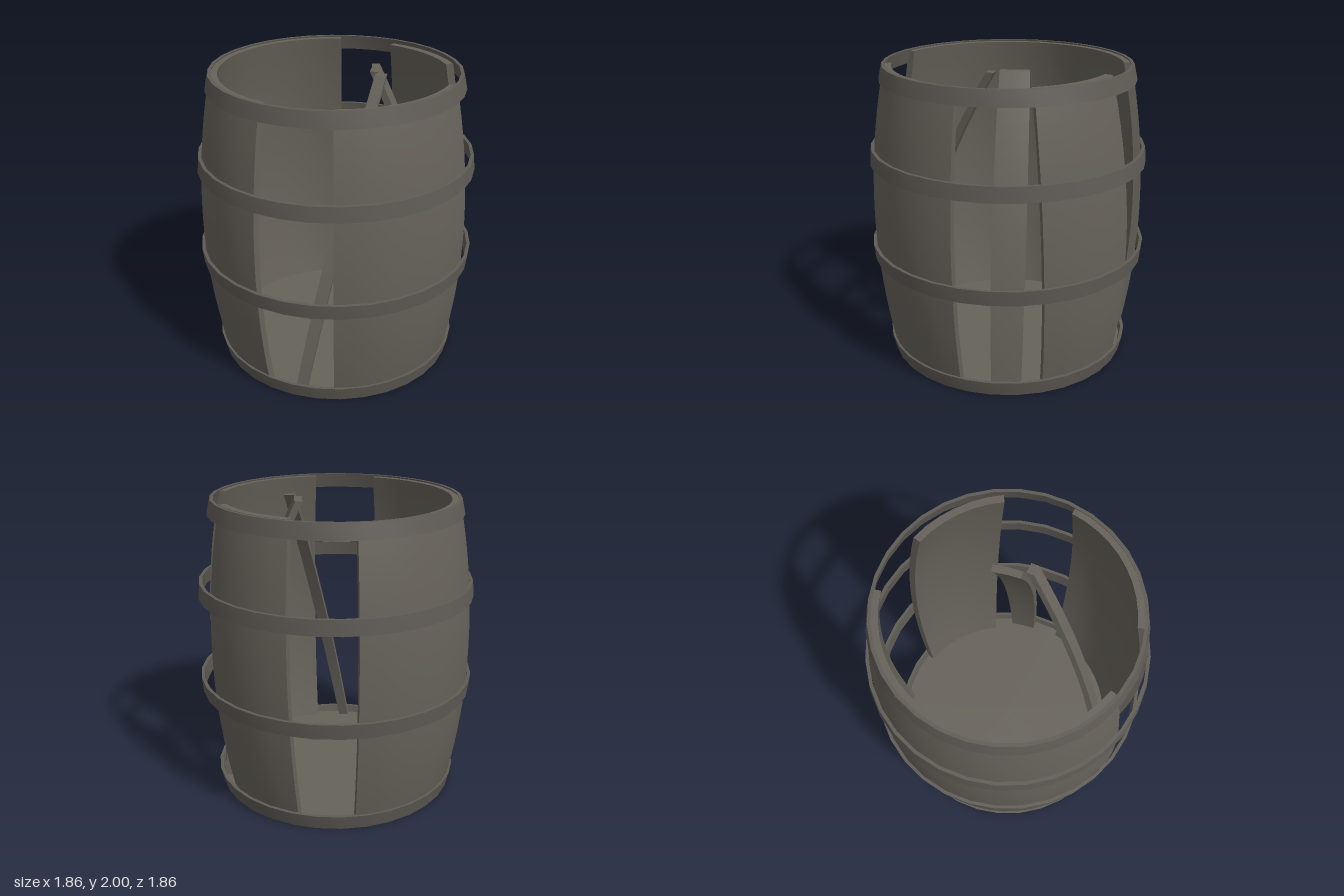
import * as THREE from 'three';
import { toCreasedNormals } from 'three/addons/utils/BufferGeometryUtils.js';

const wood = new THREE.MeshStandardMaterial({ color: 0x66625a });
wood.name = 'weathered wood';
const iron = new THREE.MeshStandardMaterial({ color: 0x5f5b55 });
iron.name = 'dull iron';

const rad = THREE.MathUtils.degToRad;
const THICK = 0.05;
const bulge = (y) => 0.8 + 0.11 * (1 - (y - 1) ** 2); // outer barrel radius at height y

// Section of barrel wall between two angles (degrees, from +x towards +z).
// foot shifts its base and lean shifts its top, both as [x, z].
function staves(name, from, to, foot = [0, 0], lean = [0, 0]) {
  const geo = new THREE.BoxGeometry(1, 1, 1, 1, 20, Math.max(1, Math.round((to - from) / 7.5)));
  const p = geo.attributes.position;
  for (let i = 0; i < p.count; i++) {
    const t = p.getY(i) + 0.5;
    const y = 0.02 + 1.97 * t;
    const r = bulge(y) - THICK * (0.5 - p.getX(i));
    const a = rad(from + (to - from) * (p.getZ(i) + 0.5));
    p.setXYZ(i,
      r * Math.cos(a) + foot[0] + lean[0] * t,
      y,
      r * Math.sin(a) + foot[1] + lean[1] * t);
  }
  geo.computeVertexNormals();
  const mesh = new THREE.Mesh(geo, wood);
  mesh.name = name;
  return mesh;
}

// Flat iron band, tapered between its lower and upper radius
function hoop(name, y, rLow, rHigh) {
  const h = 0.1, w = 0.022;
  const profile = [
    [rLow, y], [rHigh, y + h], [rHigh - w, y + h], [rLow - w, y], [rLow, y],
  ].map(([r, v]) => new THREE.Vector2(r, v));
  const geo = toCreasedNormals(new THREE.LatheGeometry(profile, 32), rad(35));
  const mesh = new THREE.Mesh(geo, iron);
  mesh.name = name;
  return mesh;
}

export function createModel() {
  const barrel = new THREE.Group();
  barrel.name = 'brokenBarrel';

  // Standing walls
  barrel.add(staves('backWall', 170, 320));
  barrel.add(staves('frontWall', 71, 138));

  // Loose section sagging inwards
  barrel.add(staves('looseWall', -11, 34, [-0.015, -0.04], [-0.04, 0.07]));

  // Fallen staves leaning into the barrel
  barrel.add(staves('fallenStave', 47.7, 61.3, [0.05, -0.04], [-0.3, -0.43]));
  barrel.add(staves('fallenSliver', 151.4, 156.6, [0, 0], [0.81, -0.055]));

  // Bottom
  const floor = new THREE.Mesh(new THREE.CylinderGeometry(0.805, 0.805, 0.05, 32), wood);
  floor.position.y = 0.025;
  floor.name = 'floor';
  barrel.add(floor);

  // Iron hoops
  barrel.add(hoop('bottomHoop', 0, 0.815, 0.838));
  barrel.add(hoop('lowerHoop', 0.7, 0.922, 0.932));
  barrel.add(hoop('upperHoop', 1.36, 0.922, 0.912));
  barrel.add(hoop('topHoop', 1.9, 0.838, 0.815));

  return barrel;
}
